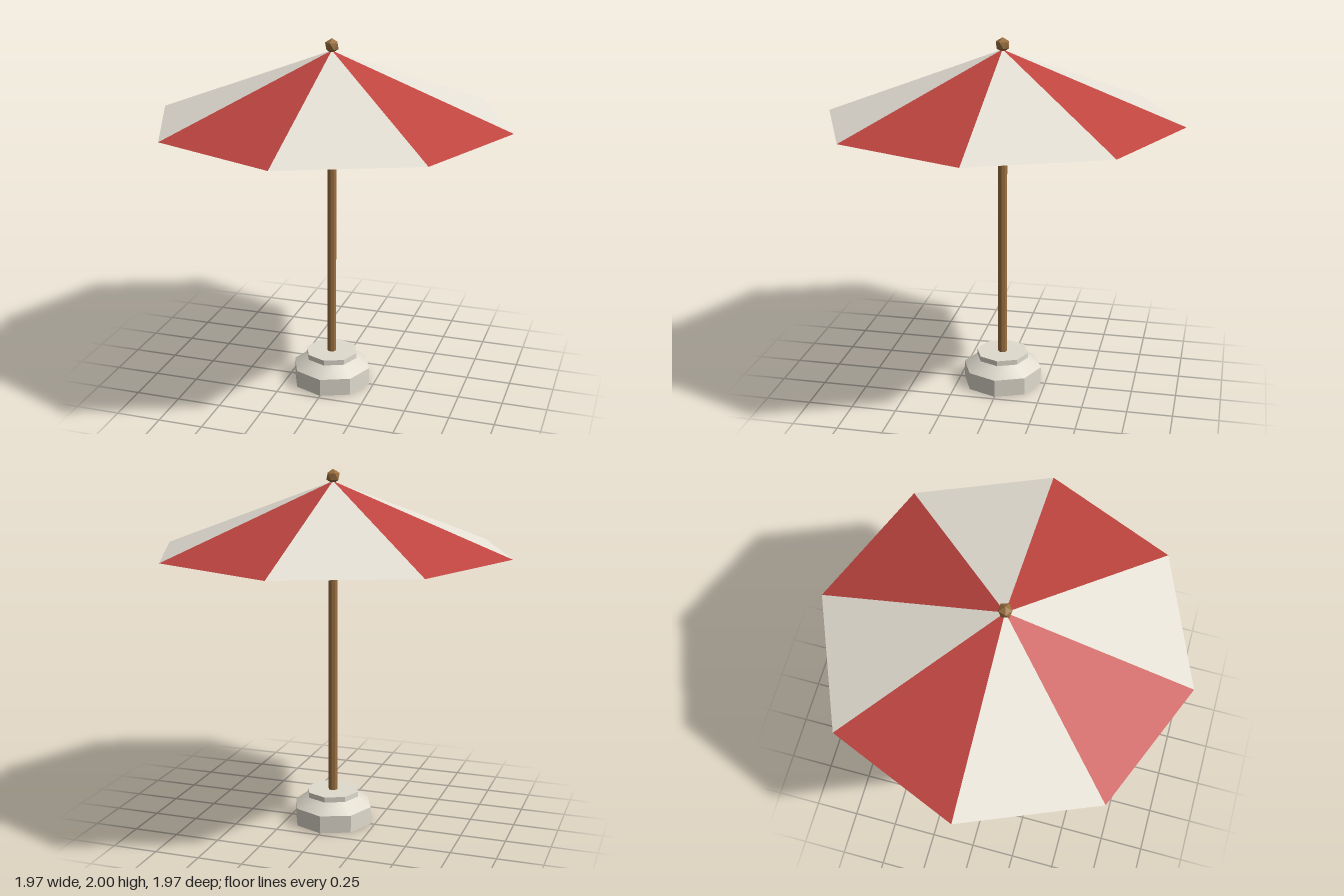
import * as THREE from 'three';

const SIDES = 8;

function material(name, color, doubleSided = false) {
  const m = new THREE.MeshStandardMaterial({ color });
  m.name = name;
  if (doubleSided) m.side = THREE.DoubleSide;
  return m;
}

// Splits shared corners so every face gets its own flat normal
function faceted(geometry) {
  const g = geometry.index ? geometry.toNonIndexed() : geometry;
  g.computeVertexNormals();
  return g;
}

function add(parent, name, geometry, mat, y = 0) {
  const mesh = new THREE.Mesh(geometry, mat);
  mesh.name = name;
  mesh.position.y = y;
  parent.add(mesh);
  return mesh;
}

// Every second triangular panel of the canopy, starting at the given one
function canopyPanels(first, radius, rimY, apexY) {
  const corner = (i) => {
    const a = (i / SIDES) * Math.PI * 2;
    return new THREE.Vector3(Math.cos(a) * radius, rimY, Math.sin(a) * radius);
  };
  const points = [];
  for (let i = first; i < SIDES; i += 2) {
    points.push(new THREE.Vector3(0, apexY, 0), corner(i + 1), corner(i));
  }
  const g = new THREE.BufferGeometry().setFromPoints(points);
  g.computeVertexNormals();
  return g;
}

export function createModel() {
  const model = new THREE.Group();
  model.name = 'parasol';

  const red = material('red fabric', 0xc04540, true);
  const cream = material('cream fabric', 0xe6e1d6, true);
  const stone = material('stone', 0xe0dbce, true);
  const wood = material('wood', 0x9b7040);

  // Hollow base, open underneath: two faceted rings, a smooth shoulder and a lid
  const base = new THREE.Group();
  base.name = 'base';
  model.add(base);
  const ring = (rTop, rBottom, h) =>
    new THREE.CylinderGeometry(rTop, rBottom, h, SIDES, 1, true);
  add(base, 'baseRing', faceted(ring(0.225, 0.225, 0.1)), stone, 0.05);
  add(base, 'baseShoulder', ring(0.15, 0.225, 0.055), stone, 0.1275);
  add(base, 'baseCollar', faceted(ring(0.15, 0.15, 0.03)), stone, 0.17);
  const lid = new THREE.CircleGeometry(0.15, SIDES).rotateX(-Math.PI / 2);
  add(base, 'baseLid', lid, stone, 0.185);

  // Pole
  const pole = new THREE.CylinderGeometry(0.026, 0.026, 1.67, SIDES);
  add(model, 'pole', faceted(pole), wood, 1.02);

  // Canopy of alternating panels
  const canopy = new THREE.Group();
  canopy.name = 'canopy';
  model.add(canopy);
  add(canopy, 'redPanels', canopyPanels(0, 0.985, 1.56, 1.935), red);
  add(canopy, 'creamPanels', canopyPanels(1, 0.985, 1.56, 1.935), cream);

  // Faceted finial, turned so that one corner points straight up
  const finial = new THREE.IcosahedronGeometry(0.04);
  finial.rotateX(-Math.atan((1 + Math.sqrt(5)) / 2));
  add(model, 'finial', faceted(finial), wood, 1.96);

  return model;
}
